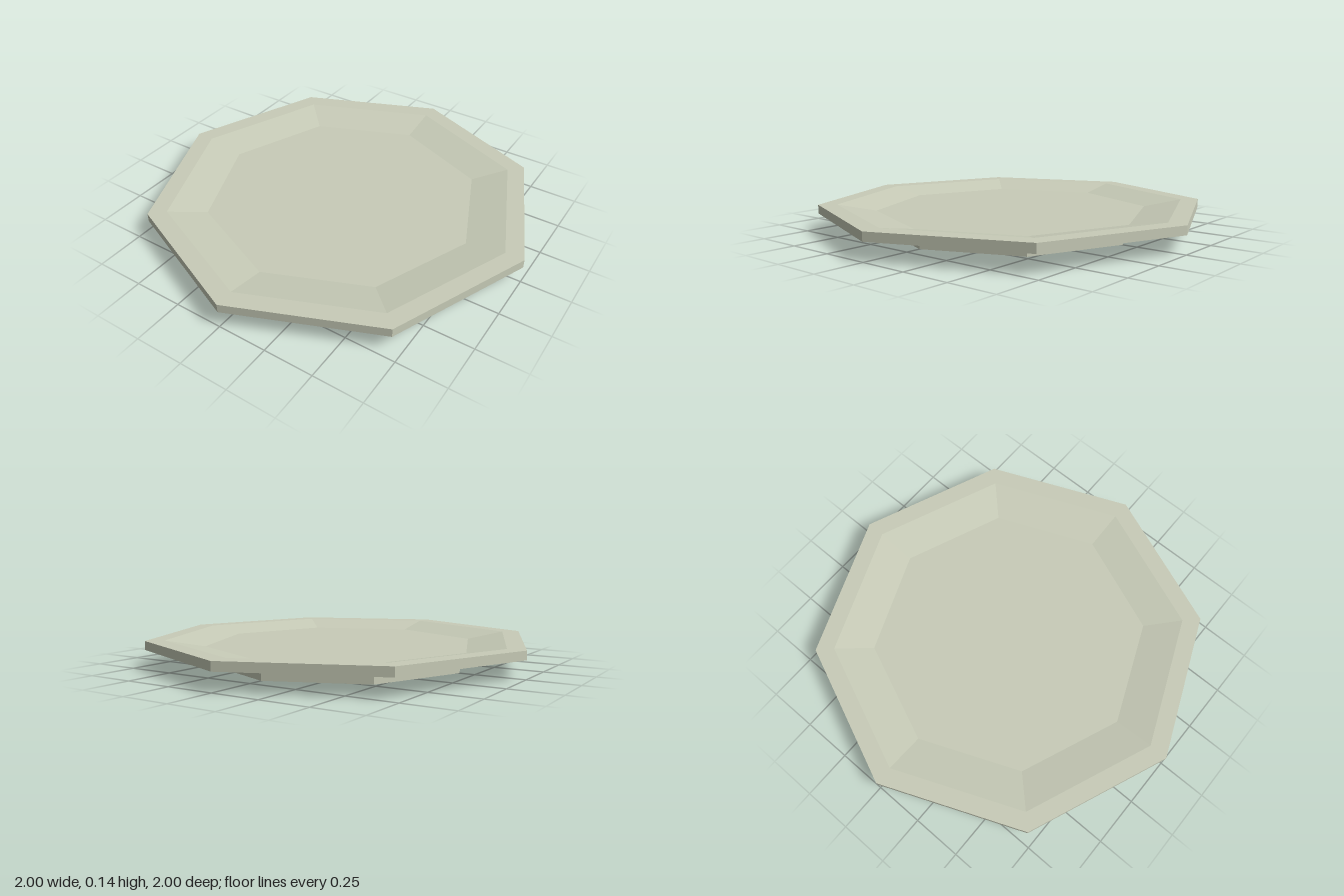
import * as THREE from 'three';

const SIDES = 8;

export function createModel() {
  const group = new THREE.Group();
  group.name = 'octagonalPlate';

  const glaze = new THREE.MeshStandardMaterial({ color: 0xc8ccb8, flatShading: true });
  glaze.name = 'paleSageGlaze';

  // Turns a [radius, height] profile into a faceted ring with corners on the axes
  const addRing = (name, profile) => {
    const points = profile.map(([r, y]) => new THREE.Vector2(r, y));
    const mesh = new THREE.Mesh(new THREE.LatheGeometry(points, SIDES), glaze);
    mesh.name = name;
    group.add(mesh);
  };

  // Solid foot under the plate
  addRing('foot', [[0, 0], [0.672, 0], [0.672, 0.048]]);
  // Sloping underside
  addRing('underside', [[0.672, 0.048], [1, 0.09]]);
  // Upright outer edge and flat lip
  addRing('rim', [[1, 0.09], [1, 0.135], [0.905, 0.135]]);
  // Sunken well with a flat floor
  addRing('well', [[0.905, 0.135], [0.705, 0.1], [0, 0.1]]);

  return group;
}
